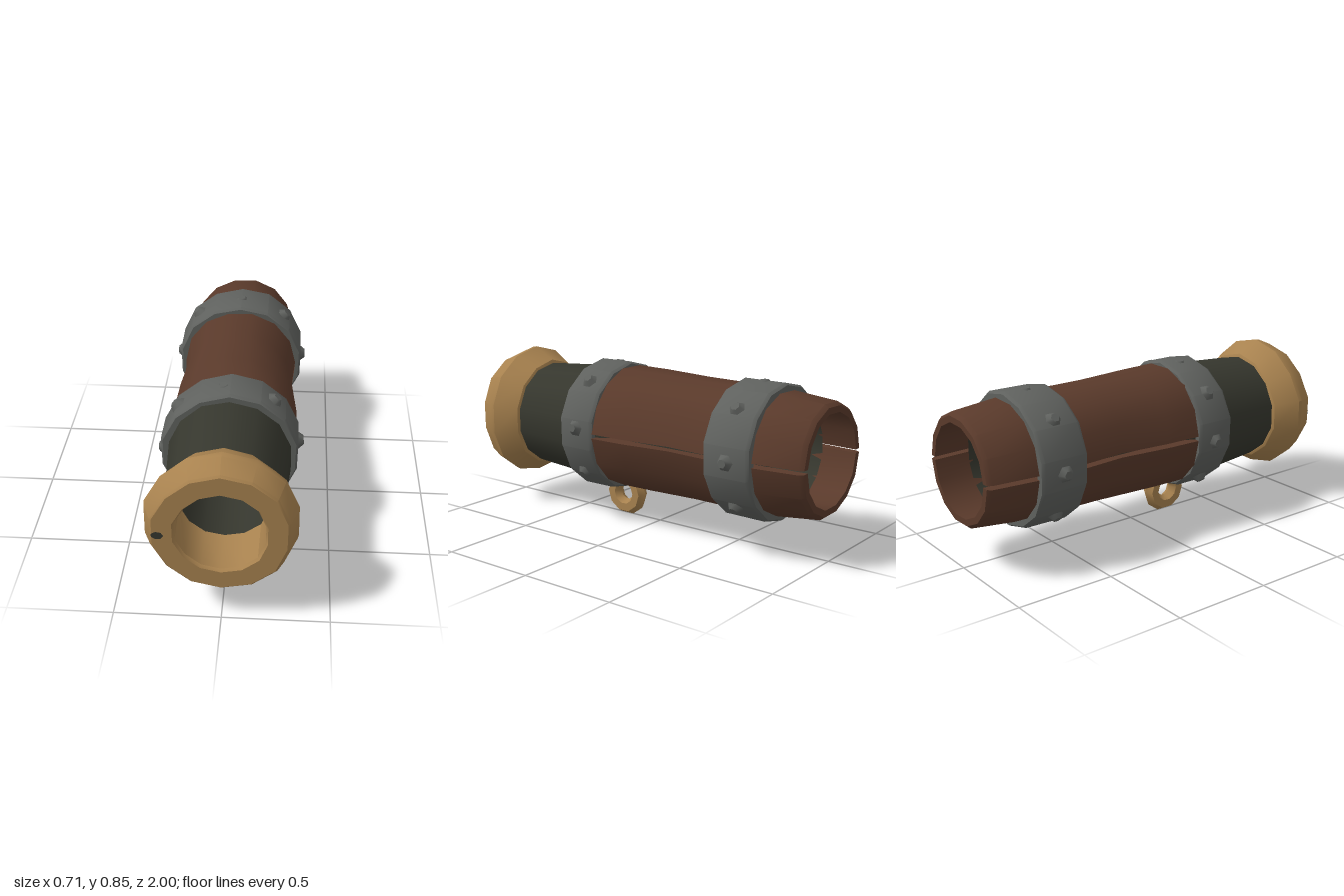
import * as THREE from 'three';
import { mergeGeometries, toCreasedNormals } from 'three/addons/utils/BufferGeometryUtils.js';

const AXIS_Y = 0.495;
const SIDES = 14;

function material(name, color, side = THREE.FrontSide) {
  const m = new THREE.MeshStandardMaterial({ color, side });
  m.name = name;
  return m;
}

// Hand-hewn look: gentle radial wobble around the z axis
function wobble(geo, amount, seed) {
  const p = geo.attributes.position;
  for (let i = 0; i < p.count; i++) {
    const x = p.getX(i), y = p.getY(i), z = p.getZ(i);
    const a = Math.atan2(y, x);
    const s = 1 + amount * Math.sin(3 * a + seed + z * 4) + amount * 0.6 * Math.sin(5 * a - seed * 2);
    p.setXY(i, x * s, y * s);
  }
  return geo;
}

// Closed profile of [radius, z] pairs (outside forward, inside back) turned about z
function turned(profile, start = 0, length = Math.PI * 2, sides = SIDES) {
  const pts = [...profile, profile[0]].map(([r, z]) => new THREE.Vector2(r, z));
  const parts = [new THREE.LatheGeometry(pts, sides, start, length).toNonIndexed()];
  if (length < Math.PI * 2) {
    for (const phi of [start, start + length]) {
      const cap = new THREE.ShapeGeometry(new THREE.Shape(pts.slice(0, -1)));
      parts.push(cap.rotateY(phi - Math.PI / 2).toNonIndexed());
    }
  }
  return mergeGeometries(parts).rotateX(Math.PI / 2);
}

export function createModel() {
  const brass = material('brass', 0xa8824f);
  const wood = material('brown wood', 0x5a3a2b, THREE.DoubleSide);
  const dark = material('dark barrel', 0x36372e, THREE.DoubleSide);
  const iron = material('grey iron', 0x5f615e);

  const model = new THREE.Group();
  const body = new THREE.Group();
  body.name = 'barrelAssembly';
  body.position.y = AXIS_Y;
  model.add(body);

  const add = (name, geo, mat, parent = body, crease = 0.6) => {
    const mesh = new THREE.Mesh(toCreasedNormals(geo, crease), mat);
    mesh.name = name;
    parent.add(mesh);
    return mesh;
  };

  // Inner barrel, exposed between the front band and the muzzle
  add('barrel', wobble(turned([
    [0.235, -0.82], [0.25, -0.8], [0.255, 0.1], [0.305, 0.2], [0.302, 0.4],
    [0.275, 0.77], [0.255, 0.97], [0.213, 0.97], [0.22, 0]
  ]), 0.008, 1), dark);

  // Flared muzzle ring
  add('muzzle', wobble(turned([
    [0.27, 0.75], [0.29, 0.76], [0.354, 0.88], [0.35, 0.905], [0.315, 0.99],
    [0.305, 1], [0.215, 1], [0.206, 0.985], [0.21, 0.75]
  ]), 0.014, 0.6), brass, body, 0.5);

  // Scuff on the muzzle face
  const scuff = new THREE.CircleGeometry(0.026, 7).scale(1.1, 0.8, 1);
  add('muzzleScuff', scuff, dark).position.set(-0.278, -0.015, 1.002);

  // Two wooden half shells with a narrow groove between them
  const gap = 0.035;
  [['upperShell', Math.PI / 2], ['lowerShell', -Math.PI / 2]].forEach(([name, start]) => {
    const geo = turned([
      [0.262, -1], [0.278, -0.98], [0.302, -0.75], [0.309, -0.5], [0.311, -0.27],
      [0.318, 0], [0.32, 0.2], [0.25, 0.2], [0.245, -0.7], [0.23, -1]
    ], start + gap, Math.PI - 2 * gap, 7);
    // Narrowed waist between the bands
    const p = geo.attributes.position;
    for (let i = 0; i < p.count; i++) {
      const d = (p.getZ(i) + 0.27) / 0.2;
      p.setX(i, p.getX(i) * (1 - 0.08 * Math.exp(-d * d)));
    }
    add(name, wobble(geo, 0.007, 2), wood);
  });

  // Iron bands with eight rivets each
  [['frontBand', 0.19, 0.4, 0.1], ['rearBand', -0.75, -0.5, 0]].forEach(([name, z0, z1, turn]) => {
    const band = new THREE.Group();
    band.name = name;
    body.add(band);
    add(name + 'Hoop', wobble(turned([
      [0.328, z0], [0.338, z0 + 0.015], [0.338, z1 - 0.015], [0.328, z1], [0.29, z1], [0.29, z0]
    ]), 0.008, z0 + 3), iron, band);
    for (let i = 0; i < 8; i++) {
      const a = i * Math.PI / 4 + turn;
      const r = i % 4 === 2 ? 0.32 : 0.338;
      const rivet = new THREE.CylinderGeometry(0.022, 0.05, 0.036, 6).rotateZ(-Math.PI / 2);
      const mesh = add('rivet', rivet, iron, band, 0.9);
      mesh.rotation.z = a;
      mesh.position.set(Math.cos(a) * r, Math.sin(a) * r, (z0 + z1) / 2);
    }
  });

  // Hanging loop under the front band
  const loop = new THREE.TorusGeometry(0.082, 0.042, 6, 10).rotateY(Math.PI / 2);
  add('hangingLoop', loop, brass, model, 0.9).position.set(0, 0.125, 0.222);

  return model;
}
